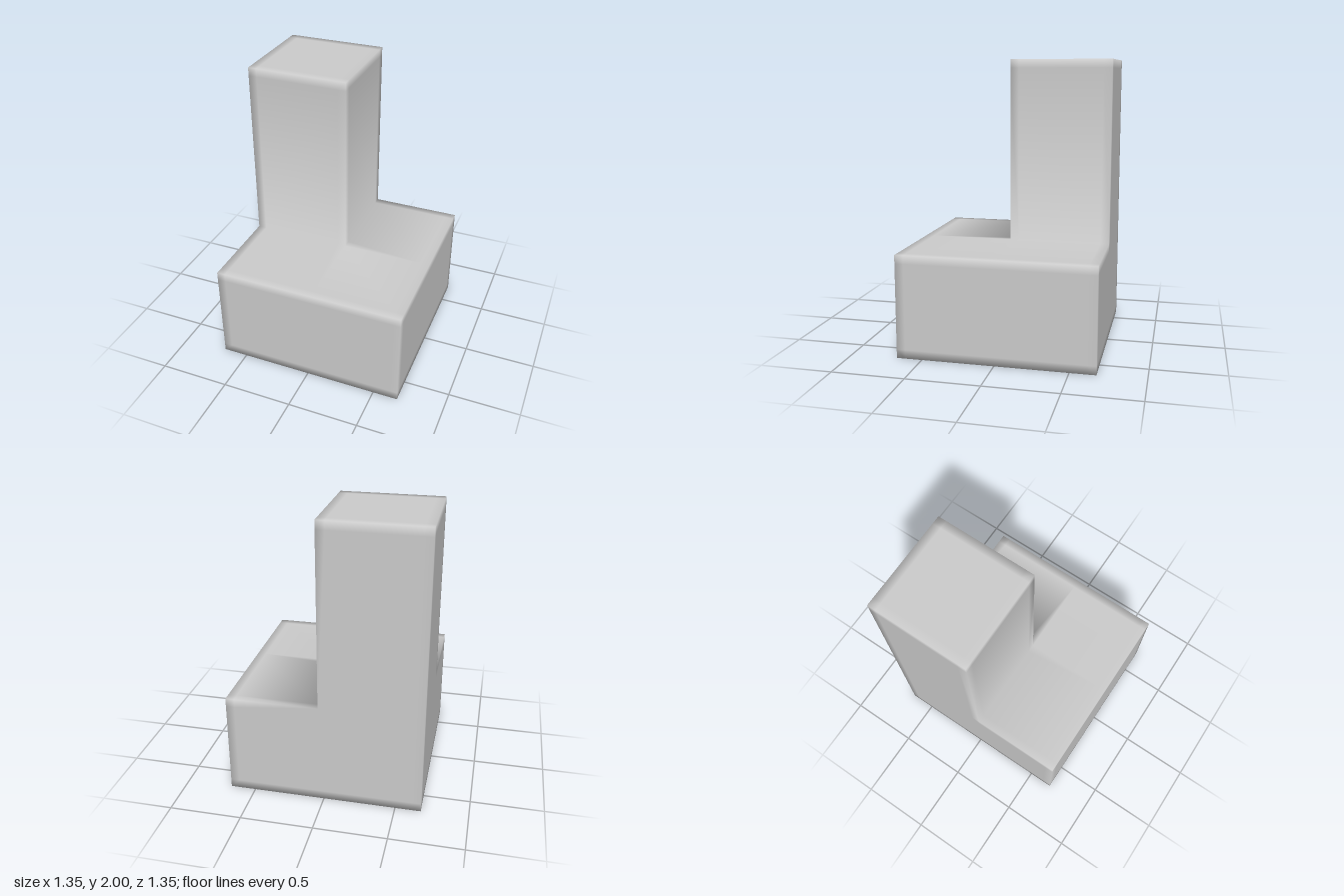
import * as THREE from 'three';
import { mergeVertices } from 'three/addons/utils/BufferGeometryUtils.js';

const HALF = 0.677; // half width of the base
const INNER = 0.035; // inner faces of the column
const STEP = 0.715; // top of the base
const TOP = 2;
const LOOP = 0.06; // support loops that keep the outer edges tight

// grid planes on each axis, with a support loop beside every outer edge
const side = [-HALF, -HALF + LOOP, INNER - LOOP, INNER, HALF - LOOP, HALF];
const planes = [side, [0, LOOP, STEP - LOOP, STEP, TOP - LOOP, TOP], side];

// cells filled by the square base and by the column in its back corner
function solid([i, j, k]) {
  if (Math.min(i, j, k) < 0 || Math.max(i, j, k) > 4) return false;
  return j < 3 || (i < 3 && k < 3);
}

// skin of the filled cells, welded so the normals blend across edges
function skin() {
  const pos = [];
  const quad = (cell, axis, dir) => {
    const u = (axis + 1) % 3, v = (axis + 2) % 3;
    const corner = (a, b) => {
      const p = [0, 0, 0];
      p[axis] = planes[axis][cell[axis] + (dir > 0 ? 1 : 0)];
      p[u] = planes[u][cell[u] + a];
      p[v] = planes[v][cell[v] + b];
      return p;
    };
    const c = [corner(0, 0), corner(1, 0), corner(1, 1), corner(0, 1)];
    if (dir < 0) c.reverse();
    for (const n of [0, 1, 2, 0, 2, 3]) pos.push(...c[n]);
  };
  for (let i = 0; i < 5; i++)
    for (let j = 0; j < 5; j++)
      for (let k = 0; k < 5; k++) {
        const cell = [i, j, k];
        if (!solid(cell)) continue;
        for (let axis = 0; axis < 3; axis++)
          for (const dir of [-1, 1]) {
            const next = [...cell];
            next[axis] += dir;
            if (!solid(next)) quad(cell, axis, dir);
          }
      }
  const raw = new THREE.BufferGeometry();
  raw.setAttribute('position', new THREE.Float32BufferAttribute(pos, 3));
  const geometry = mergeVertices(raw);
  geometry.computeVertexNormals();
  return geometry;
}

export function createModel() {
  const group = new THREE.Group();
  group.name = 'steppedBlock';
  const body = new THREE.Mesh(skin(), new THREE.MeshStandardMaterial({ color: 0xcccccc }));
  body.name = 'baseWithColumn';
  group.add(body);
  return group;
}
